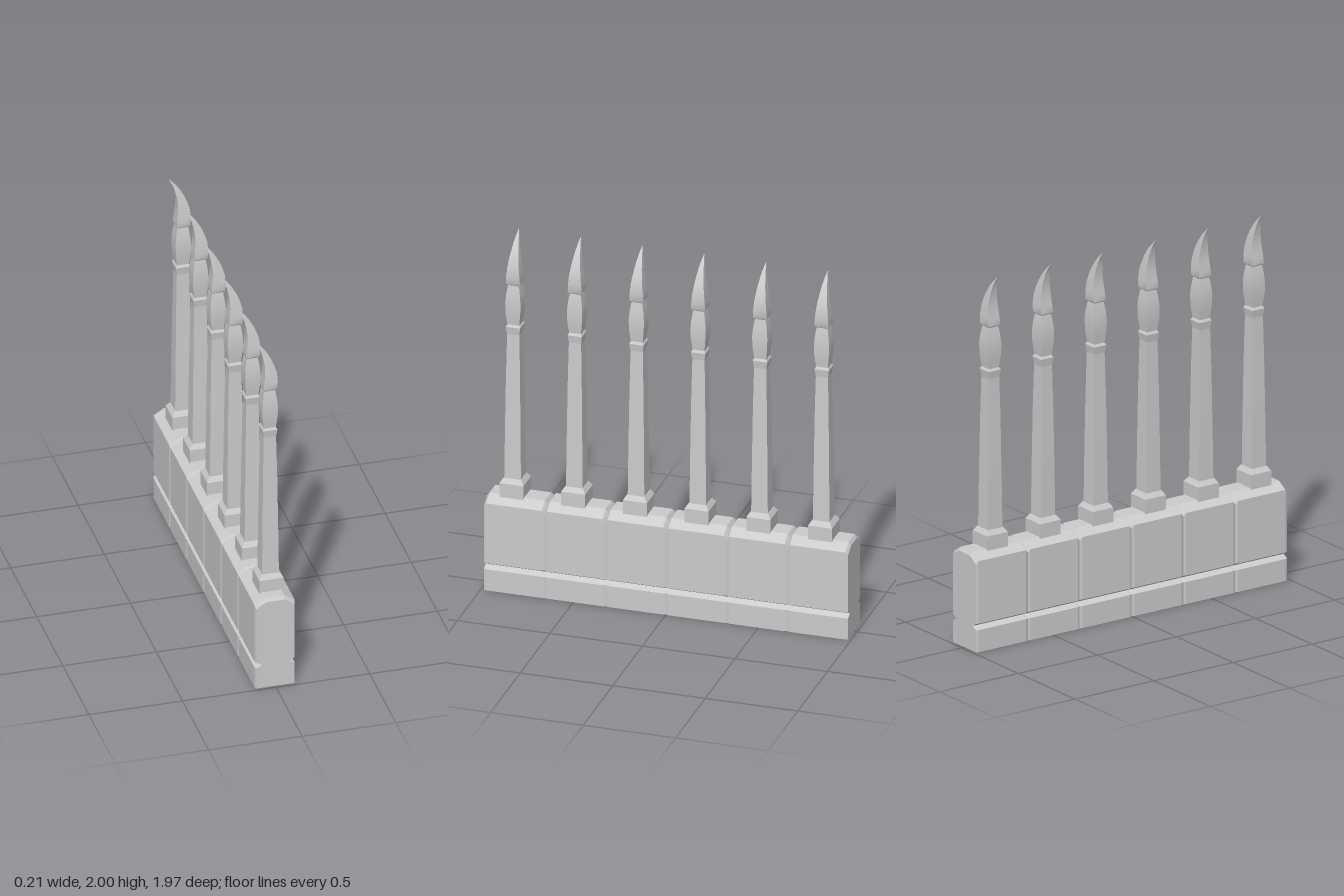
import * as THREE from 'three';

const material = new THREE.MeshStandardMaterial({ color: 0xcccccc, side: THREE.DoubleSide });

// Stacks rectangular rings [y, xMin, xMax, halfDepth]: four sides with crisp corners, plus end caps.
function loft(rings, flat = false) {
  const pos = [], idx = [];
  const corners = ([y, a, b, d]) => [[a, y, d], [b, y, d], [b, y, -d], [a, y, -d]];
  const strip = (rows) => {
    const base = pos.length / 3;
    rows.forEach((row) => row.forEach((p) => pos.push(...p)));
    for (let i = 0; i < rows.length - 1; i++) {
      const k = base + i * 2;
      idx.push(k, k + 1, k + 3, k, k + 3, k + 2);
    }
  };
  const loops = rings.map(corners);
  for (let s = 0; s < 4; s++) strip(loops.map((c) => [c[s], c[(s + 1) % 4]]));
  const [b, t] = [loops[0], loops[loops.length - 1]];
  strip([[b[3], b[2]], [b[0], b[1]]]);
  strip([[t[0], t[1]], [t[3], t[2]]]);
  let g = new THREE.BufferGeometry();
  g.setAttribute('position', new THREE.Float32BufferAttribute(pos, 3));
  g.setIndex(idx);
  if (flat) g = g.toNonIndexed();
  g.computeVertexNormals();
  return g;
}

const square = (pairs) => pairs.map(([y, r]) => [y, -r, r, r]);

// Wall block: grooved, chamfered section run along z, with eased ends.
function blockGeometry(length) {
  const right = [[0.107, 0], [0.107, 0.12], [0.075, 0.137], [0.107, 0.155], [0.107, 0.495], [0.052, 0.53]];
  const left = right.map(([x, y]) => [-x, y]).reverse();
  const shape = new THREE.Shape([...right, ...left].map((p) => new THREE.Vector2(...p)));
  const g = new THREE.ExtrudeGeometry(shape, { depth: 3, steps: 3, bevelEnabled: false });
  const p = g.attributes.position, h = length / 2;
  const zs = [-h, -h + 0.014, h - 0.014, h];
  for (let i = 0; i < p.count; i++) {
    const k = Math.round(p.getZ(i));
    if (k === 0 || k === 3) {
      p.setX(i, p.getX(i) * 0.95);
      if (p.getY(i) > 0.4) p.setY(i, p.getY(i) - 0.018);
    }
    p.setZ(i, zs[k]);
  }
  g.computeVertexNormals();
  return g;
}

export function createModel() {
  const model = new THREE.Group();
  model.name = 'spikedWall';
  const count = 6, pitch = 0.328;

  const block = blockGeometry(pitch);
  const postParts = {
    plinth: loft(square([[0.5, 0.065], [0.6, 0.065], [0.625, 0.048]]), true),
    shaft: loft(square([[0.62, 0.045], [0.9, 0.042], [1.2, 0.038], [1.4, 0.034], [1.44, 0.033]])),
    collar: loft(square([[1.44, 0.033], [1.482, 0.039], [1.497, 0.03]]), true),
    bulb: loft(square([[1.495, 0.032], [1.53, 0.036], [1.57, 0.04], [1.62, 0.041],
      [1.66, 0.038], [1.695, 0.033], [1.718, 0.029]])),
    // Claw-like tip curling towards -x
    claw: loft([
      [1.715, -0.028, 0.028, 0.028], [1.728, -0.036, 0.037, 0.038], [1.77, -0.03, 0.042, 0.036],
      [1.82, -0.025, 0.038, 0.031], [1.86, -0.025, 0.027, 0.026], [1.9, -0.03, 0.011, 0.02],
      [1.94, -0.039, -0.012, 0.0135], [1.97, -0.05, -0.035, 0.008], [2, -0.066, -0.063, 0.001],
    ]),
  };

  for (let i = 0; i < count; i++) {
    const wall = new THREE.Mesh(block, material);
    wall.name = 'wallBlock';
    wall.position.z = ((count - 1) / 2 - i) * pitch;
    model.add(wall);

    const post = new THREE.Group();
    post.name = 'post';
    post.position.z = 0.847 - i * 0.3335;
    for (const [name, geometry] of Object.entries(postParts)) {
      const mesh = new THREE.Mesh(geometry, material);
      mesh.name = name;
      post.add(mesh);
    }
    model.add(post);
  }
  return model;
}
